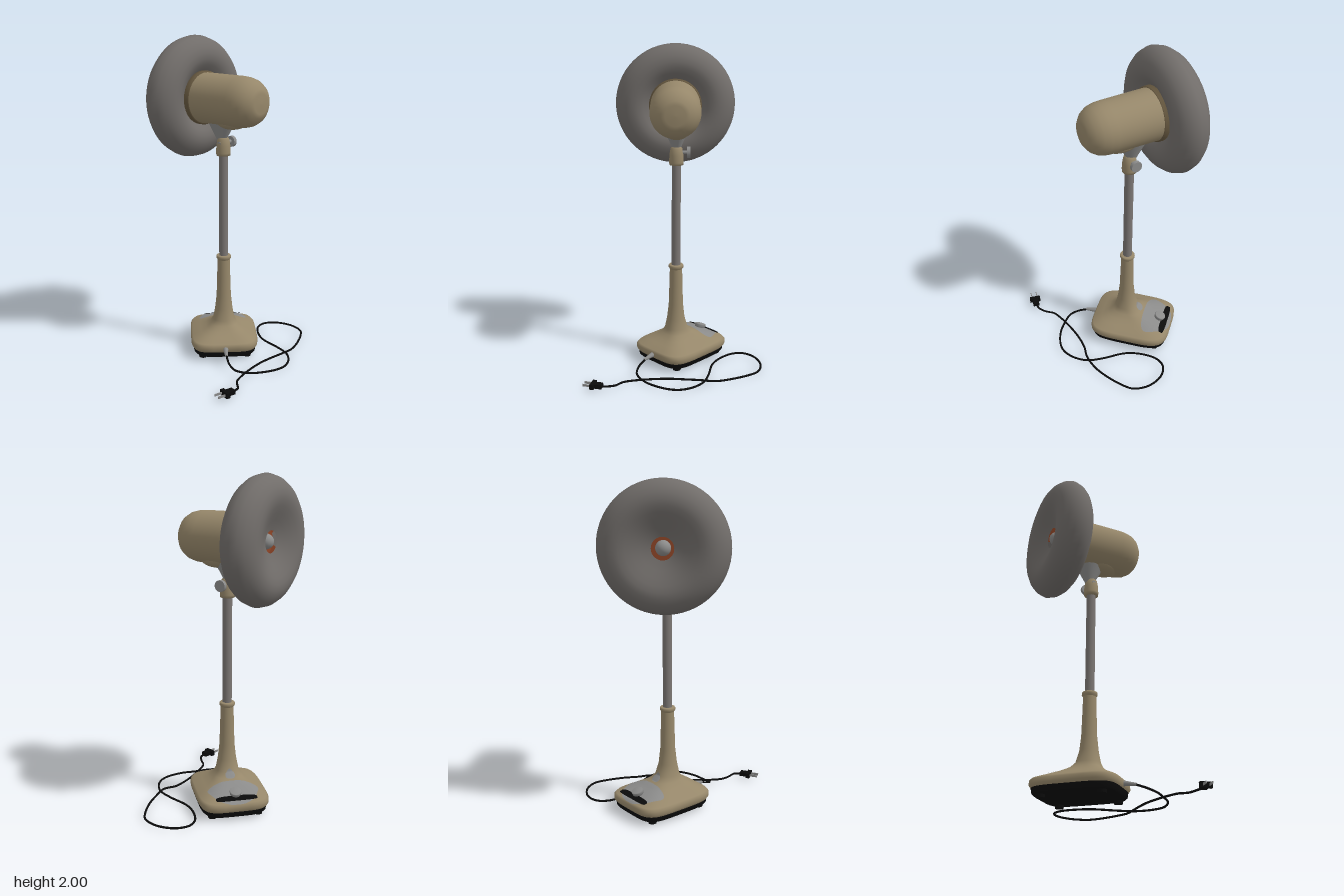
import * as THREE from 'three';

const mat = (name, color, side = THREE.FrontSide) => {
  const m = new THREE.MeshStandardMaterial({ color, side });
  m.name = name;
  return m;
};
const V = (x, y, z) => new THREE.Vector3(x, y, z);
const CX = -0.045;

// Superellipse point and section levels: [y, halfX, halfZ, centreZ, exponent]
const spow = (v, n) => Math.sign(v) * Math.pow(Math.abs(v), 2 / n);
const BASE = [
  [0.055, 0.205, 0.25, -0.18, 4.5], [0.07, 0.214, 0.26, -0.18, 4.5], [0.095, 0.214, 0.26, -0.18, 4.5],
  [0.108, 0.203, 0.249, -0.179, 4.5], [0.135, 0.15, 0.185, -0.167, 4], [0.155, 0.115, 0.14, -0.155, 3.4],
  [0.18, 0.085, 0.095, -0.142, 2.7], [0.21, 0.069, 0.073, -0.134, 2.2], [0.28, 0.056, 0.056, -0.13, 2],
  [0.37, 0.046, 0.046, -0.13, 2], [0.5, 0.042, 0.042, -0.13, 2], [0.615, 0.039, 0.039, -0.13, 2],
];
const TRAY = [
  [0.018, 0.001, 0.001, -0.18, 4.5], [0.018, 0.19, 0.235, -0.18, 4.5], [0.03, 0.2, 0.247, -0.18, 4.5],
  [0.06, 0.204, 0.251, -0.18, 4.5],
];

function loft(levels, seg = 64) {
  const pos = [], idx = [];
  levels.forEach(([y, hx, hz, cz, n], i) => {
    for (let j = 0; j < seg; j++) {
      const t = (j / seg) * Math.PI * 2;
      pos.push(CX + hx * spow(Math.cos(t), n), y, cz + hz * spow(Math.sin(t), n));
      if (i === 0) continue;
      const a = (i - 1) * seg + j, c = (i - 1) * seg + ((j + 1) % seg);
      idx.push(a, a + seg, c, c, a + seg, c + seg);
    }
  });
  const g = new THREE.BufferGeometry();
  g.setAttribute('position', new THREE.Float32BufferAttribute(pos, 3));
  g.setIndex(idx);
  g.computeVertexNormals();
  return g;
}

// Height of the base's upper surface at (x, z)
function baseHeight(x, z) {
  let lo = 0.095, hi = 0.6;
  for (let k = 0; k < 24; k++) {
    const y = (lo + hi) / 2;
    const i = BASE.findIndex((l) => l[0] > y);
    const A = BASE[i - 1], B = BASE[i], f = (y - A[0]) / (B[0] - A[0]);
    const [, hx, hz, cz, n] = A.map((v, q) => v + (B[q] - v) * f);
    if (Math.abs((x - CX) / hx) ** n + Math.abs((z - cz) / hz) ** n < 1) lo = y;
    else hi = y;
  }
  return lo;
}

// Thin patch draped over the base; taper narrows it towards the pillar
function patch(hx, hz, cz, n, taper, lift) {
  const g = new THREE.RingGeometry(0.001, 1, 48, 10);
  const p = g.attributes.position;
  for (let i = 0; i < p.count; i++) {
    const r = Math.hypot(p.getX(i), p.getY(i));
    const u = r * spow(p.getX(i) / r, n), v = r * spow(p.getY(i) / r, n);
    const x = CX + u * hx * (1 + taper * v), z = cz - v * hz;
    p.setXYZ(i, x, baseHeight(x, z) + lift, z);
  }
  g.computeVertexNormals();
  return g;
}

const lathe = (pts, seg = 48) =>
  new THREE.LatheGeometry(pts.map(([r, y]) => new THREE.Vector2(r, y)), seg);

export function createModel() {
  const root = new THREE.Group();
  const tan = mat('tan enamel', 0x96876a);
  const brown = mat('dark brown', 0x65573f);
  const grey = mat('cage grey', 0x716d6a, THREE.DoubleSide);
  const steel = mat('column steel', 0x7b7673);
  const silver = mat('silver', 0x8b8b8a);
  const black = mat('black', 0x0b0b0b);
  const orange = mat('blade orange', 0x8f4527, THREE.DoubleSide);

  const add = (name, geo, m, x = 0, y = 0, z = 0, parent = root) => {
    const mesh = new THREE.Mesh(geo, m);
    mesh.name = name;
    mesh.position.set(x, y, z);
    parent.add(mesh);
    return mesh;
  };

  // Base, tray and feet
  add('basePillar', loft(BASE), tan);
  add('baseTray', loft(TRAY), black);
  for (const sx of [-1, 1]) for (const sz of [-1, 1])
    add('foot', new THREE.CylinderGeometry(0.028, 0.025, 0.03, 16), black, CX + sx * 0.14, 0.015, -0.18 + sz * 0.18);

  // Control panel with switch strip, knob and small badge
  add('controlPanel', patch(0.14, 0.09, -0.345, 3.2, -0.3, 0.004), silver);
  add('switchStrip', patch(0.125, 0.02, -0.395, 4, 0, 0.008), black);
  add('pillarBadge', patch(0.03, 0.02, -0.222, 2, 0, 0.004), silver);
  const knob = add('controlKnob', lathe([[0, -0.025], [0.03, -0.025], [0.036, 0.008], [0.033, 0.014], [0, 0.015]], 24),
    silver, CX, 0.147, -0.362);
  knob.rotation.x = -0.33;

  // Collar and column
  add('collar', lathe([[0.036, 0.6], [0.04, 0.612], [0.047, 0.62], [0.047, 0.632], [0.043, 0.638], [0.025, 0.638]], 32),
    tan, CX, 0, -0.13);
  add('column', new THREE.CylinderGeometry(0.028, 0.028, 0.72, 32), steel, CX, 0.96, -0.13);

  // Tilt joint, with its screw across the head's axis
  add('tiltJoint', lathe([[0.028, 1.28], [0.043, 1.283], [0.045, 1.3], [0.043, 1.345], [0.036, 1.385], [0.02, 1.402], [0, 1.404]], 32),
    tan, CX, 0, -0.13);
  const screw = new THREE.Group();
  screw.name = 'tiltScrew';
  screw.position.set(CX, 1.36, -0.13);
  screw.rotation.y = Math.PI / 4;
  root.add(screw);
  add('screwShaft', new THREE.CylinderGeometry(0.012, 0.012, 0.12, 16), silver, 0.02, 0, 0, screw).rotation.z = Math.PI / 2;
  add('screwKnob', new THREE.CylinderGeometry(0.034, 0.034, 0.022, 20), silver, 0.075, 0, 0, screw).rotation.z = Math.PI / 2;
  const bracket = add('tiltBracket', new THREE.CylinderGeometry(0.105, 0.028, 0.14, 32), silver, CX - 0.01, 1.44, -0.14);
  bracket.rotation.y = Math.PI / 4;
  bracket.scale.x = 0.75;

  // Fan head: local +y is the blowing direction
  const head = new THREE.Group();
  head.name = 'fanHead';
  head.position.set(-0.215, 1.625, -0.29);
  head.quaternion.setFromUnitVectors(V(0, 1, 0), V(-1, 0, -1).normalize());
  root.add(head);
  add('motorHousing', lathe([[0, -0.537], [0.06, -0.535], [0.085, -0.528], [0.118, -0.502], [0.14, -0.466],
    [0.15, -0.425], [0.153, -0.38], [0.155, -0.09]]), tan, 0, 0, 0, head);
  add('motorFlange', lathe([[0.15, -0.1], [0.164, -0.098], [0.164, -0.04], [0, -0.035]]), brown, 0, 0, 0, head);
  add('cage', lathe([[0.13, -0.045], [0.165, -0.07], [0.2, -0.097], [0.235, -0.109], [0.27, -0.109], [0.305, -0.098],
    [0.338, -0.075], [0.363, -0.042], [0.375, 0], [0.363, 0.042], [0.338, 0.075], [0.305, 0.098], [0.27, 0.109],
    [0.235, 0.109], [0.2, 0.1], [0.16, 0.084], [0.12, 0.066], [0.09, 0.054], [0.064, 0.046]], 64), grey, 0, 0, 0, head);

  // Hub cap and blades inside the cage
  add('hubCap', new THREE.SphereGeometry(0.044, 24, 16), silver, 0, 0.015, 0, head);
  add('bladeHub', new THREE.CylinderGeometry(0.075, 0.075, 0.03, 32), orange, 0, 0, 0, head);
  const bladeShape = new THREE.Shape();
  bladeShape.moveTo(0.05, -0.03);
  bladeShape.quadraticCurveTo(0.2, -0.14, 0.3, -0.06);
  bladeShape.quadraticCurveTo(0.33, 0.06, 0.24, 0.08);
  bladeShape.quadraticCurveTo(0.12, 0.06, 0.05, 0.03);
  const bladeGeo = new THREE.ShapeGeometry(bladeShape, 8).rotateX(-Math.PI / 2 + 0.25);
  for (let i = 0; i < 4; i++) add('blade', bladeGeo, orange, 0, 0, 0, head).rotation.y = (i * Math.PI) / 2;

  // Rounded belly under the motor
  const belly = add('motorBelly', new THREE.SphereGeometry(0.1, 32, 20), tan, 0.0, 1.515, -0.085);
  belly.rotation.y = Math.PI / 4;
  belly.scale.set(0.85, 0.65, 1.25);

  // Cord with strain relief
  const relief = add('strainRelief', new THREE.CylinderGeometry(0.008, 0.018, 0.09, 16), silver, CX, 0.075, 0.107);
  relief.rotation.x = Math.PI / 2 + 0.15;
  const path = [[-0.045, 0.14], [-0.032, 0.21], [0, 0.256], [0.08, 0.273], [0.16, 0.27], [0.25, 0.243], [0.31, 0.2],
    [0.345, 0.13], [0.352, 0.05], [0.34, 0], [0.3, -0.075], [0.22, -0.2], [0.198, -0.3], [0.208, -0.4], [0.25, -0.455],
    [0.31, -0.47], [0.375, -0.455], [0.45, -0.4], [0.49, -0.32], [0.482, -0.25], [0.44, -0.13], [0.39, -0.04],
    [0.33, 0.03], [0.24, 0.08], [0.17, 0.14], [0.1, 0.22], [0.03, 0.32], [0.004, 0.375], [0.004, 0.43], [0, 0.48], [-0.035, 0.52]];
  const rise = [0.07, 0.045, 0.025];
  const curve = new THREE.CatmullRomCurve3(path.map(([x, z], i) =>
    V(x, rise[i] ?? (i === 22 ? 0.022 : i > 28 ? 0.022 : 0.012), z)));
  add('cord', new THREE.TubeGeometry(curve, 220, 0.0065, 8), black);

  // Plug with two prongs
  const plug = new THREE.Group();
  plug.name = 'plug';
  plug.position.set(-0.065, 0.026, 0.536);
  plug.rotation.y = Math.atan2(-0.85, 0.5);
  root.add(plug);
  add('plugGrip', new THREE.BoxGeometry(0.04, 0.026, 0.05), black, 0, 0, -0.02, plug);
  add('plugFace', new THREE.BoxGeometry(0.07, 0.032, 0.025), black, 0, 0, 0.012, plug);
  for (const s of [-1, 1]) add('prong', new THREE.BoxGeometry(0.005, 0.014, 0.05), silver, s * 0.018, 0, 0.048, plug);

  return root;
}
